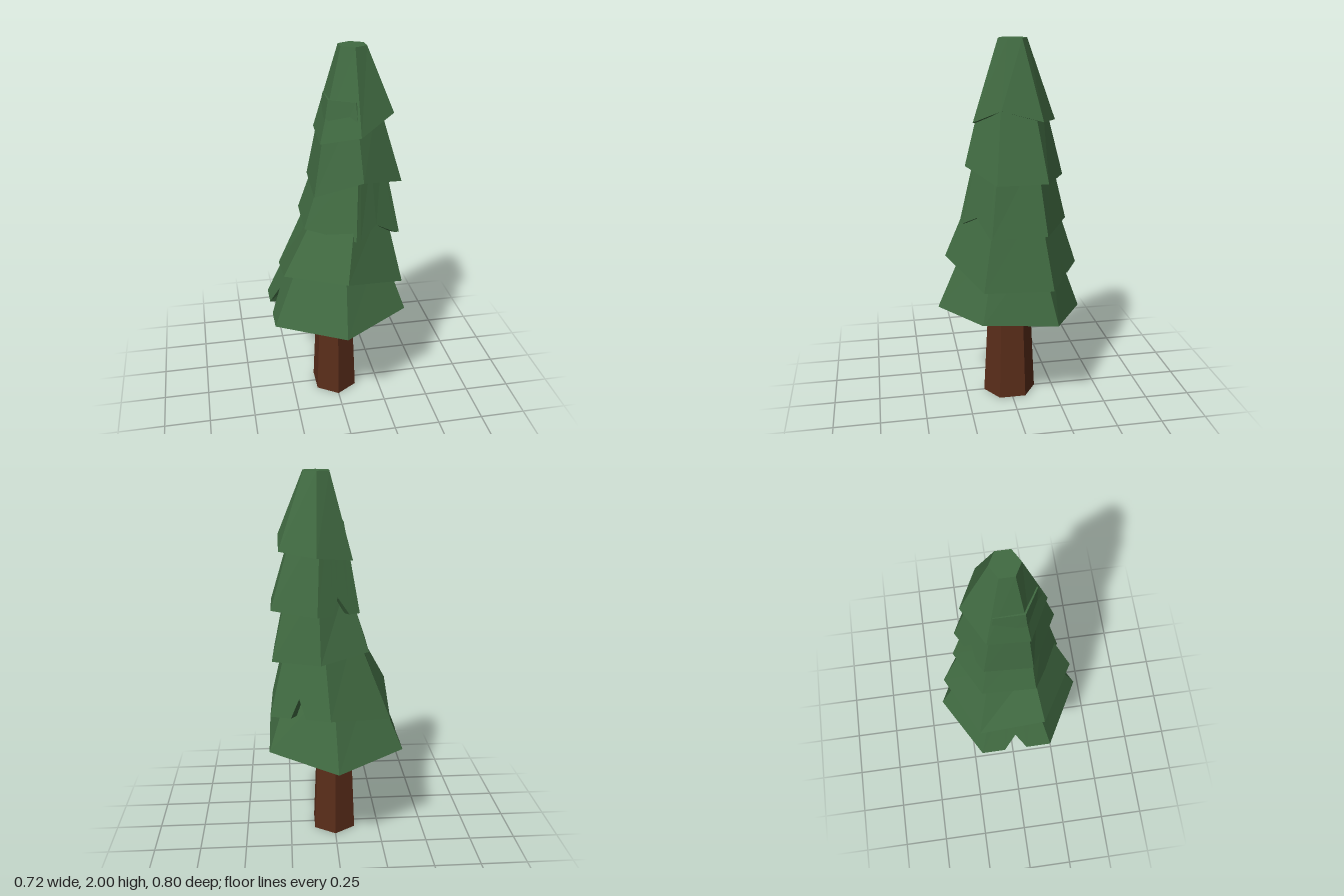
import * as THREE from 'three';

const HEX = Array.from({ length: 6 }, (_, i) => [Math.sin(i * Math.PI / 3), Math.cos(i * Math.PI / 3)]);

// Each tier: rim corners [x, y, z] (front, then round by the left, back and right),
// a top hexagon (cx, y, rx, rz) and an optional torn notch: edge and [along, lift] points.
const TIERS = [
  {
    name: 'lowestBranches',
    rim: [[0, 0.545, 0.4], [0.359, 0.58, 0.2], [0.359, 0.545, -0.2], [0, 0.495, -0.4], [-0.359, 0.54, -0.2], [-0.359, 0.545, 0.2]],
    top: [0.02, 0.95, 0.21, 0.23], edge: 4, notch: [[0.33, 0], [0.5, 0.3], [0.65, 0]],
  },
  {
    name: 'lowerBranches',
    rim: [[0.01, 0.85, 0.355], [0.34, 0.75, 0.19], [0.35, 0.74, -0.175], [0.04, 0.78, -0.365], [-0.288, 0.72, -0.2], [-0.3, 0.83, 0.165]],
    top: [0.07, 1.2, 0.17, 0.22], edge: 2, notch: [[0.35, 0], [0.46, 0.23], [0.6, 0]],
  },
  {
    name: 'middleBranches',
    rim: [[0.065, 1.055, 0.278], [0.325, 1.03, 0.145], [0.335, 1.035, -0.14], [0.085, 1.055, -0.29], [-0.173, 1.085, -0.16], [-0.182, 1.08, 0.125]],
    top: [0.09, 1.45, 0.15, 0.19], edge: 0, notch: [[0.1, 0], [0.48, 0.16], [0.92, 0]],
  },
  {
    name: 'upperBranches',
    rim: [[0.105, 1.365, 0.25], [0.335, 1.31, 0.12], [0.335, 1.31, -0.14], [0.1, 1.3, -0.265], [-0.125, 1.29, -0.14], [-0.125, 1.25, 0.115]],
    top: [0.08, 1.75, 0.125, 0.15], edge: 3, notch: [[0.35, 0], [0.5, 0.2], [0.75, 0]],
  },
  {
    name: 'crownBranches',
    rim: [[0.1, 1.585, 0.205], [0.29, 1.67, 0.09], [0.29, 1.61, -0.12], [0.1, 1.59, -0.22], [-0.09, 1.56, -0.115], [-0.09, 1.53, 0.1]],
    top: [0.091, 2, 0.066, 0.073], edge: -1, notch: [],
  },
];

// Hollow hexagonal skirt: outer wall, thick rim, inner wall and ceiling
function tierGeometry({ rim, top, edge, notch }) {
  const V = (p) => new THREE.Vector3(...p);
  const [cx, ty, rx, rz] = top;
  const bottomRing = rim.map(V);
  const topRing = HEX.map(([s, c]) => new THREE.Vector3(cx + s * rx / 0.866, ty, c * rz));
  const middle = bottomRing.reduce((a, p) => a.add(p), new THREE.Vector3()).divideScalar(6);
  const topCentre = new THREE.Vector3(cx, ty, 0);
  const outer = [], upper = [], inner = [], ceiling = [];
  for (let i = 0; i < 6; i++) {
    const j = (i + 1) % 6;
    for (const [t, lift] of [[0, 0], ...(i === edge ? notch : [])]) {
      const base = bottomRing[i].clone().lerp(bottomRing[j], t);
      const up = topRing[i].clone().lerp(topRing[j], t);
      const out = base.clone().lerp(up, lift);
      const inn = new THREE.Vector3(
        THREE.MathUtils.lerp(out.x, middle.x, 0.14), out.y, THREE.MathUtils.lerp(out.z, middle.z, 0.14));
      outer.push(out);
      upper.push(up);
      inner.push(inn);
      ceiling.push(base.lerp(topCentre, 0.32));
    }
  }
  const ceilingCentre = middle.clone().lerp(topCentre, 0.32);
  const pos = [];
  const tri = (...pts) => pts.forEach((p) => pos.push(p.x, p.y, p.z));
  const quad = (a, b, c, d) => { tri(a, b, c); tri(a, c, d); };
  for (let i = 0; i < outer.length; i++) {
    const j = (i + 1) % outer.length;
    quad(outer[i], outer[j], upper[j], upper[i]);
    quad(outer[i], inner[i], inner[j], outer[j]);
    quad(inner[i], ceiling[i], ceiling[j], inner[j]);
    tri(ceiling[i], ceilingCentre, ceiling[j]);
    tri(upper[i], upper[j], topCentre);
  }
  const g = new THREE.BufferGeometry();
  g.setAttribute('position', new THREE.Float32BufferAttribute(pos, 3));
  g.computeVertexNormals();
  return g;
}

export function createModel() {
  const tree = new THREE.Group();
  tree.name = 'pineTree';
  const bark = new THREE.MeshStandardMaterial({ color: 0x5a2d1a, flatShading: true });
  const needles = new THREE.MeshStandardMaterial({ color: 0x416b42, flatShading: true });

  // Tapered six-sided trunk
  const trunkGeometry = new THREE.CylinderGeometry(0.106, 0.148, 0.8, 6);
  trunkGeometry.scale(0.88, 1, 1).translate(0, 0.4, 0);
  const trunk = new THREE.Mesh(trunkGeometry, bark);
  trunk.name = 'trunk';
  tree.add(trunk);

  // Stacked, slightly crooked branch tiers
  for (const tier of TIERS) {
    const mesh = new THREE.Mesh(tierGeometry(tier), needles);
    mesh.name = tier.name;
    tree.add(mesh);
  }
  return tree;
}
